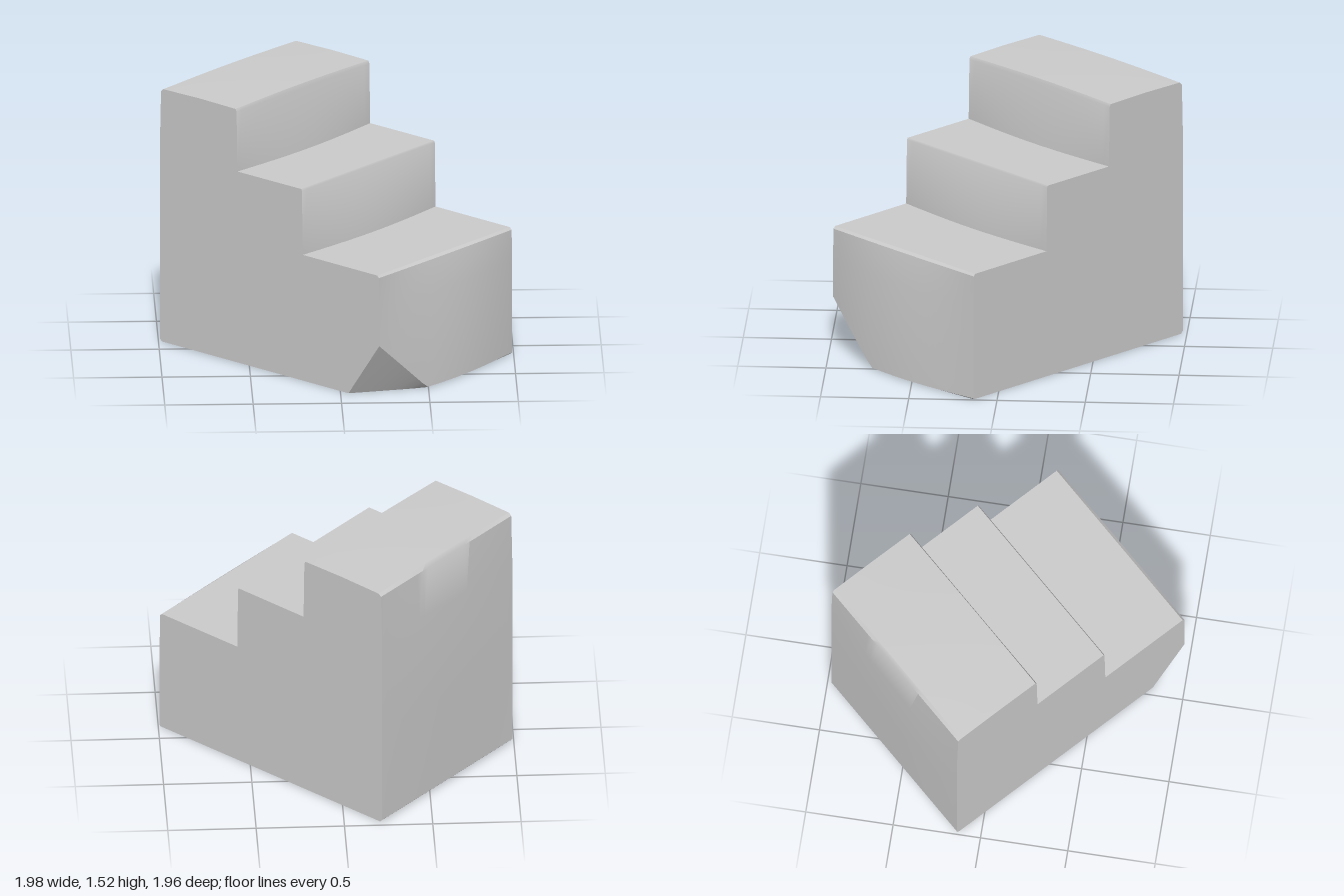
import * as THREE from 'three';
import { toCreasedNormals } from 'three/addons/utils/BufferGeometryUtils.js';

const WIDTH = 1.147, HALF = 0.82, CUT = 0.32;

// Side profile of the stairs: [run, height, outward bulge at mid-width]
const PROFILE = [
  [-0.805, 0.005, 0], [0.59, 0, 0.04], [HALF, 0.33, 0.055], [HALF, 0.56, 0.035], [0.817, 0.735, 0.005], [0.805, 0.748, 0],
  [0.248, 0.75, 0.03], [0.242, 1.13, 0], [0.236, 1.14, 0],
  [-0.241, 1.14, 0.03], [-0.247, 1.495, 0], [-0.255, 1.51, 0],
  [-0.52, 1.514, 0], [-0.795, 1.51, 0], [-0.812, 1.495, 0],
  [-HALF, 1.2, -0.012], [-HALF, 0.6, -0.008], [-HALF, 0.02, 0],
];

function stairGeometry() {
  const shape = new THREE.Shape(PROFILE.map(([u, y]) => new THREE.Vector2(u, y)));
  const geo = new THREE.ExtrudeGeometry(shape, { depth: WIDTH, steps: 25, bevelEnabled: false });
  const pos = geo.attributes.position;
  for (let i = 0; i < pos.count; i++) {
    let u = pos.getX(i), y = pos.getY(i);
    const z = pos.getZ(i), t = 1 - z / WIDTH;
    const point = PROFILE.findIndex(p => Math.abs(p[0] - u) < 1e-4 && Math.abs(p[1] - y) < 1e-4);
    const swell = Math.sin(Math.PI * t);
    // the broken lower corner shrinks to nothing across the front face
    const cut = Math.max(0.02, 1 - t / CUT);
    if (point === 1) u = HALF - 0.23 * cut;
    if (point === 2) y = 0.33 * cut;
    // soft, uneven risers and a slightly domed top
    u += PROFILE[point][2] * swell;
    if (y > 1.5) y += 0.008 * swell;
    pos.setXYZ(i, u, y, z - WIDTH / 2);
  }
  geo.computeVertexNormals();
  return toCreasedNormals(geo, 0.6);
}

export function createModel() {
  const model = new THREE.Group();
  model.name = 'stairBlock';
  const stairs = new THREE.Mesh(stairGeometry(), new THREE.MeshStandardMaterial({ color: 0xcccccc }));
  stairs.name = 'steps';
  // the block stands diagonally on the ground
  stairs.rotation.y = -0.745;
  model.add(stairs);
  return model;
}
